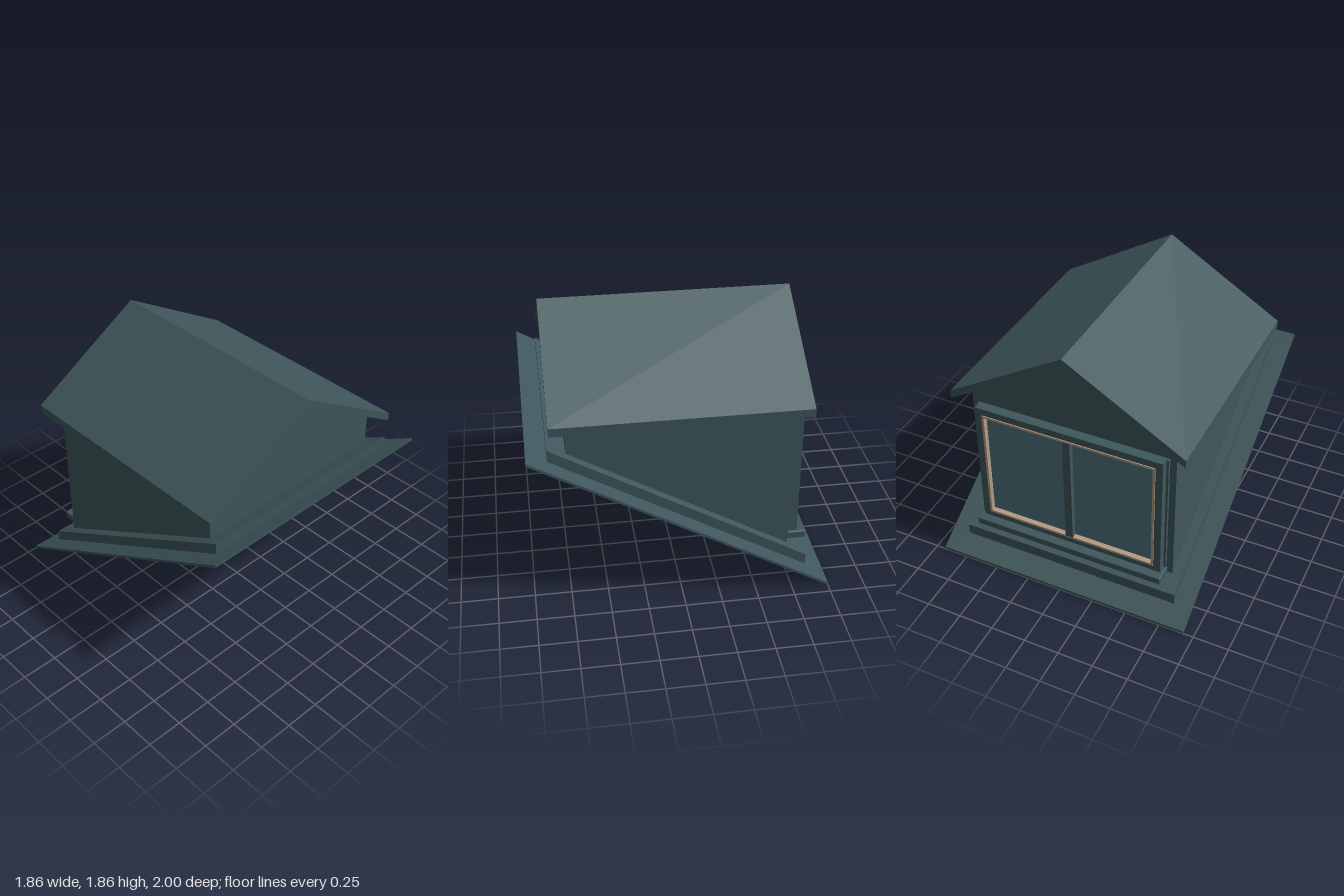
import * as THREE from 'three';
import { RoundedBoxGeometry } from 'three/addons/geometries/RoundedBoxGeometry.js';

const SLOPE = 0.58;
const slate = new THREE.MeshStandardMaterial({ color: 0x3f575c, flatShading: true });
const glassMat = new THREE.MeshStandardMaterial({ color: 0x4c737b, flatShading: true });
const tan = new THREE.MeshStandardMaterial({ color: 0xb39a84, flatShading: true });

// Height of the sloping main roof's underside at depth z
const slopeY = (z) => (z + 1) * SLOPE;

function polygon(points) {
  return new THREE.Shape(points.map(([x, y]) => new THREE.Vector2(x, y)));
}

// Extrude an x-y shape along z, from z0 to z1
function extrude(shape, z0, z1) {
  const geo = new THREE.ExtrudeGeometry(shape, { depth: z1 - z0, bevelEnabled: false });
  return geo.translate(0, 0, z0);
}

// Rectangular ring: outer half-width and heights, with an opening inset by the border
function ring(halfW, y0, y1, border, z0, z1) {
  const rect = (w, a, b) => [[-w, a], [w, a], [w, b], [-w, b]];
  const shape = polygon(rect(halfW, y0, y1));
  shape.holes.push(polygon(rect(halfW - border, y0 + border, y1 - border)));
  return extrude(shape, z0, z1);
}

// Slab lying along the main roof slope with upright ends
function slopedSlab(width, z0, z1, lower, upper) {
  const geo = new THREE.BoxGeometry(width, upper - lower, z1 - z0);
  geo.translate(0, (lower + upper) / 2, (z0 + z1) / 2);
  const p = geo.attributes.position;
  for (let i = 0; i < p.count; i++) p.setY(i, p.getY(i) + slopeY(p.getZ(i)));
  geo.computeVertexNormals();
  return geo;
}

function box(w, h, d, x, y, z) {
  return new THREE.BoxGeometry(w, h, d).translate(x, y, z);
}

export function createModel() {
  const group = new THREE.Group();
  const add = (name, geo, mat = slate) => {
    const mesh = new THREE.Mesh(geo, mat);
    mesh.name = name;
    group.add(mesh);
  };

  // Flashing sheet and raised curb follow the main roof slope
  add('flashingSheet', slopedSlab(1.86, -1, 1, 0, 0.02));
  add('curb', slopedSlab(1.6, -0.865, 0.865, 0.02, 0.1));

  // Gabled body whose bottom edge is cut along the slope
  const body = extrude(polygon([
    [-0.735, 0], [0.735, 0], [0.735, 1.36], [0, 1.8], [-0.735, 1.36],
  ]), -0.745, 0.745);
  const p = body.attributes.position;
  for (let i = 0; i < p.count; i++) {
    if (p.getY(i) < 0.01) p.setY(i, slopeY(p.getZ(i)) + 0.09);
  }
  body.computeVertexNormals();
  add('gabledBody', body);

  // Pitched roof with overhanging eaves
  add('gableRoof', extrude(polygon([
    [-0.835, 1.3], [0, 1.8], [0.835, 1.3], [0.835, 1.36], [0, 1.86], [-0.835, 1.36],
  ]), -0.85, 0.85));

  // Window on the low end: flange, frame, trim, panes, mullion and sill
  add('windowFlange', ring(0.69, 0.3, 1.245, 0.06, -0.768, -0.745));
  add('windowFrame', ring(0.675, 0.3, 1.255, 0.05, -0.825, -0.765));
  add('windowTrim', ring(0.625, 0.35, 1.205, 0.016, -0.832, -0.775), tan);
  for (const side of [-1, 1]) {
    add(side > 0 ? 'leftPane' : 'rightPane', box(0.6, 0.83, 0.02, side * 0.31, 0.778, -0.785), glassMat);
  }
  add('mullion', box(0.055, 0.83, 0.05, 0, 0.778, -0.808));
  add('windowSill', new RoundedBoxGeometry(1.4, 0.055, 0.135, 2, 0.008).translate(0, 0.278, -0.8175),
    new THREE.MeshStandardMaterial({ color: 0x3f575c }));

  return group;
}
